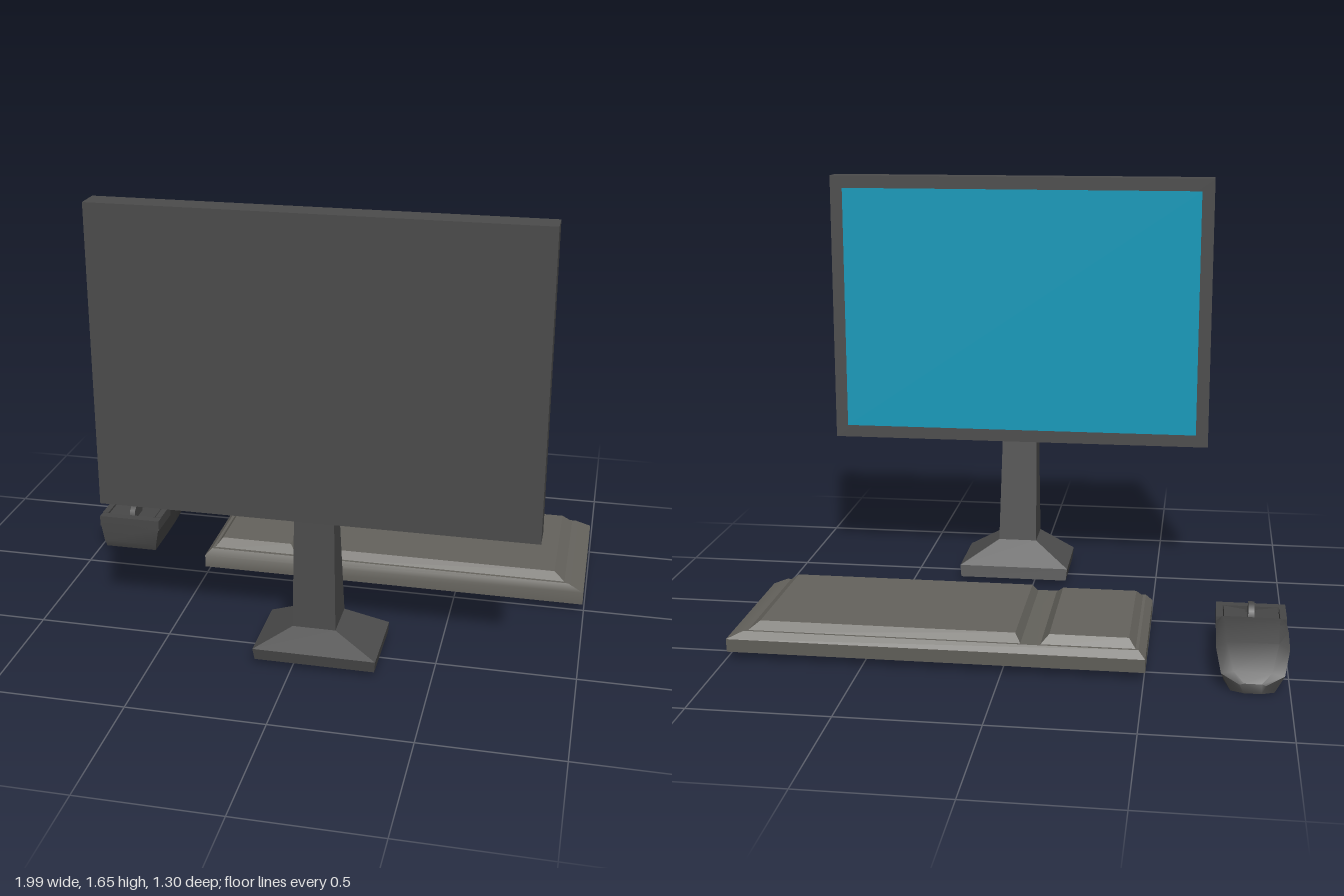
import * as THREE from 'three';
import { toCreasedNormals } from 'three/addons/utils/BufferGeometryUtils.js';

const mat = (color) => new THREE.MeshStandardMaterial({ color });
const darkMat = mat(0x4c4c4c);
const keyMat = mat(0x65635d);
const mouseMat = mat(0x484848);
const screenMat = mat(0x0c9abb);

// Skin a stack of convex rings and cap both ends.
// Rings run counter-clockwise as seen from the end of the stack.
function loft(rings, crease = 0.1) {
  const n = rings[0].length;
  const index = [];
  rings.slice(1).forEach((_, i) => {
    for (let j = 0; j < n; j++) {
      const k = (j + 1) % n;
      const a = i * n + j, b = i * n + k, c = b + n, d = a + n;
      index.push(a, b, c, a, c, d);
    }
  });
  const last = (rings.length - 1) * n;
  for (let j = 1; j < n - 1; j++) {
    index.push(0, j + 1, j);
    index.push(last, last + j, last + j + 1);
  }
  const g = new THREE.BufferGeometry();
  g.setAttribute('position', new THREE.Float32BufferAttribute(rings.flat(2), 3));
  g.setIndex(index);
  return toCreasedNormals(g, crease);
}

// Horizontal rectangle at height y
const rect = (y, x0, x1, z0, z1) => [[x0, y, z1], [x1, y, z1], [x1, y, z0], [x0, y, z0]];

function add(parent, name, geometry, material) {
  const mesh = new THREE.Mesh(geometry, material);
  mesh.name = name;
  parent.add(mesh);
  return mesh;
}

function box(parent, name, material, x0, x1, y0, y1, z0, z1) {
  const mesh = add(parent, name, new THREE.BoxGeometry(x1 - x0, y1 - y0, z1 - z0), material);
  mesh.position.set((x0 + x1) / 2, (y0 + y1) / 2, (z0 + z1) / 2);
  return mesh;
}

function createMonitor() {
  const g = new THREE.Group();
  g.name = 'monitor';
  box(g, 'monitorCase', darkMat, -0.7, 0.855, 0.565, 1.655, 0.51, 0.605);
  // Screen faces the keyboard, towards -z
  box(g, 'screen', screenMat, -0.65, 0.805, 0.615, 1.605, 0.508, 0.52);
  // Foot, sloped shoulder and tapering neck in one skin
  add(g, 'stand', loft([
    rect(0.022, -0.135, 0.3, 0.35, 0.64),
    rect(0.068, -0.14, 0.305, 0.36, 0.65),
    rect(0.157, 0, 0.155, 0.452, 0.612),
    rect(0.566, 0.006, 0.148, 0.512, 0.604),
  ]), darkMat);
  return g;
}

function createKeyboard() {
  const g = new THREE.Group();
  g.name = 'keyboard';
  // Base slab with a bevelled upper edge
  add(g, 'keyboardBase', loft([
    rect(0.03, -0.505, 0.995, -0.58, 0.01),
    rect(0.08, -0.505, 0.995, -0.585, 0.01),
    rect(0.107, -0.48, 0.935, -0.565, -0.005),
  ], 0.6), keyMat);
  // Raised key areas with sloped edges
  add(g, 'mainKeys', loft([
    rect(0.1, -0.07, 0.93, -0.56, -0.012),
    rect(0.138, -0.045, 0.88, -0.535, -0.035),
  ]), keyMat);
  add(g, 'numberPad', loft([
    rect(0.1, -0.475, -0.13, -0.56, -0.012),
    rect(0.137, -0.445, -0.165, -0.53, -0.05),
  ]), keyMat);
  return g;
}

function createMouse() {
  const g = new THREE.Group();
  g.name = 'mouse';
  // Cross-section: narrow sole, flaring sides, softly crowned top
  const section = (z, y0, y1, sole, wide, crown) => {
    const shoulder = y0 + (y1 - y0) * 0.86;
    return [
      [-sole, y0, z], [sole, y0, z], [wide, shoulder, z],
      [crown, y1, z], [-crown, y1, z], [-wide, shoulder, z],
    ];
  };
  add(g, 'mouseBody', loft([
    section(-0.65, 0.005, 0.04, 0.03, 0.045, 0.03),
    section(-0.62, 0, 0.07, 0.075, 0.108, 0.065),
    section(-0.53, 0, 0.14, 0.098, 0.127, 0.09),
    section(-0.41, 0, 0.162, 0.104, 0.127, 0.095),
    section(-0.29, 0, 0.143, 0.106, 0.127, 0.105),
    section(-0.288, 0, 0.115, 0.106, 0.125, 0.115),
    section(-0.14, 0, 0.115, 0.106, 0.125, 0.115),
    section(-0.13, 0.03, 0.115, 0.112, 0.125, 0.115),
  ], 0.7), mouseMat);
  // Rim around the button recess
  box(g, 'frontRim', mouseMat, -0.127, 0.127, 0.095, 0.138, -0.165, -0.13);
  for (const s of [-1, 1]) {
    const rim = box(g, 'sideRim', mouseMat, -0.012, 0.012, 0.095, 0.14, -0.29, -0.165);
    rim.position.x = s * 0.115;
    // Button, dipping towards the wheel
    const button = box(g, 'button', mouseMat, -0.04, 0.04, 0.108, 0.132, -0.286, -0.168);
    button.position.x = s * 0.06;
    button.rotation.z = s * 0.15;
  }
  // Scroll wheel
  const wheel = add(g, 'scrollWheel', new THREE.CylinderGeometry(0.05, 0.05, 0.022, 10), darkMat);
  wheel.rotation.z = Math.PI / 2;
  wheel.position.set(0, 0.124, -0.217);
  g.position.x = -0.8725;
  return g;
}

export function createModel() {
  const model = new THREE.Group();
  model.name = 'desktopSet';
  model.add(createMonitor(), createKeyboard(), createMouse());
  return model;
}
